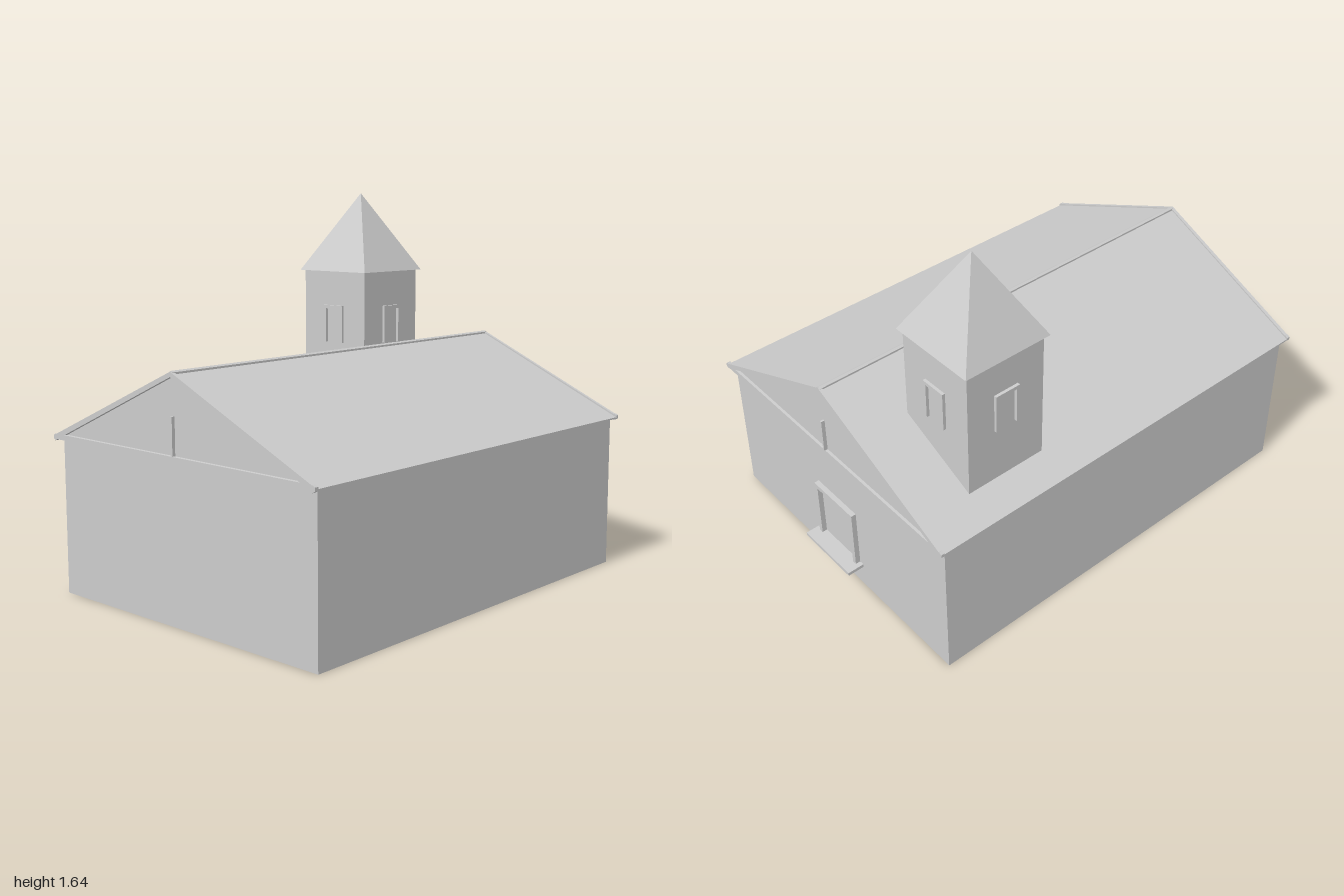
import * as THREE from 'three';

const plaster = new THREE.MeshStandardMaterial({ color: 0xcccccc });
plaster.name = 'paleGrey';

function add(parent, name, geometry, x = 0, y = 0, z = 0) {
  const mesh = new THREE.Mesh(geometry, plaster);
  mesh.name = name;
  mesh.position.set(x, y, z);
  parent.add(mesh);
  return mesh;
}

function box(parent, name, [x0, x1], [y0, y1], [z0, z1]) {
  return add(parent, name, new THREE.BoxGeometry(x1 - x0, y1 - y0, z1 - z0),
    (x0 + x1) / 2, (y0 + y1) / 2, (z0 + z1) / 2);
}

const polygon = (points) => points.map(([x, y]) => new THREE.Vector2(x, y));

function extrude(points, depth, hole) {
  const shape = new THREE.Shape(polygon(points));
  if (hole) shape.holes.push(new THREE.Path(polygon(hole)));
  return new THREE.ExtrudeGeometry(shape, { depth, bevelEnabled: false });
}

// Upside-down U of trim standing on y = 0, facing +z
function archFrame(halfWidth, height, trim, depth) {
  const w = halfWidth, i = halfWidth - trim, h = height;
  return extrude([[-w, 0], [-i, 0], [-i, h - trim], [i, h - trim], [i, 0], [w, 0], [w, h], [-w, h]], depth);
}

export function createModel() {
  const model = new THREE.Group();
  model.name = 'chapel';

  // Main hall
  box(model, 'hallWalls', [-0.71, 0.71], [0, 0.655], [-0.925, 0.965]);

  // Gabled roof
  const roof = new THREE.Group();
  roof.name = 'roof';
  model.add(roof);
  add(roof, 'roofBody', extrude([[-0.73, 0.653], [0.73, 0.653], [0.73, 0.66], [0, 0.987], [-0.73, 0.66]], 1.93), 0, 0, -0.945);
  const ridge = add(roof, 'ridgeCap', new THREE.CylinderGeometry(0.011, 0.011, 1.95, 6).toNonIndexed(), 0, 0.985, 0.02);
  ridge.rotation.x = Math.PI / 2;
  ridge.geometry.computeVertexNormals();

  // Trim, end knobs and centre slit bar on both gables
  for (const [end, z0, z1] of [['front', 0.985, 1], ['back', -0.957, -0.942]]) {
    add(roof, end + 'GableTrim', extrude(
      [[-0.72, 0.653], [0.72, 0.653], [0.72, 0.672], [0, 0.993], [-0.72, 0.672]], z1 - z0,
      [[-0.66, 0.675], [0, 0.973], [0.66, 0.675]]), 0, 0, z0);
    for (const side of [-1, 1]) {
      const knob = add(roof, end + 'EaveKnob', new THREE.CylinderGeometry(0.014, 0.014, z1 - z0, 6).toNonIndexed(),
        side * 0.72, 0.661, (z0 + z1) / 2);
      knob.rotation.x = Math.PI / 2;
      knob.geometry.computeVertexNormals();
    }
    box(roof, end + 'GableBar', [-0.004, 0.004], [0.675, 0.825], [z0 - 0.004, z1 - 0.001]);
  }

  // Bell tower with a pyramid spire
  const tower = new THREE.Group();
  tower.name = 'tower';
  tower.position.set(-0.415, 0, -0.53);
  model.add(tower);
  const half = 0.183;
  box(tower, 'towerWalls', [-half, half], [0.66, 1.287], [-half, half]);
  const spireGeometry = new THREE.ConeGeometry(0.2 * Math.SQRT2, 0.355, 4, 1).rotateY(Math.PI / 4).toNonIndexed();
  spireGeometry.computeVertexNormals();
  add(tower, 'spire', spireGeometry, 0, 1.287 + 0.1775, 0);

  // Window frames on all four tower faces
  for (let i = 0; i < 4; i++) {
    const face = new THREE.Group();
    face.name = 'towerWindow';
    face.rotation.y = i * Math.PI / 2;
    tower.add(face);
    add(face, 'towerWindowFrame', archFrame(0.057, 0.17, 0.015, 0.016), 0, 0.96, half - 0.003);
  }

  // Back window with its sill
  const rear = new THREE.Group();
  rear.name = 'backWindow';
  rear.rotation.y = Math.PI;
  model.add(rear);
  add(rear, 'backWindowFrame', archFrame(0.13, 0.275, 0.02, 0.025), 0, 0.12, 0.922);
  box(rear, 'backWindowSill', [-0.152, 0.152], [0.105, 0.12], [0.92, 1]);

  return model;
}
